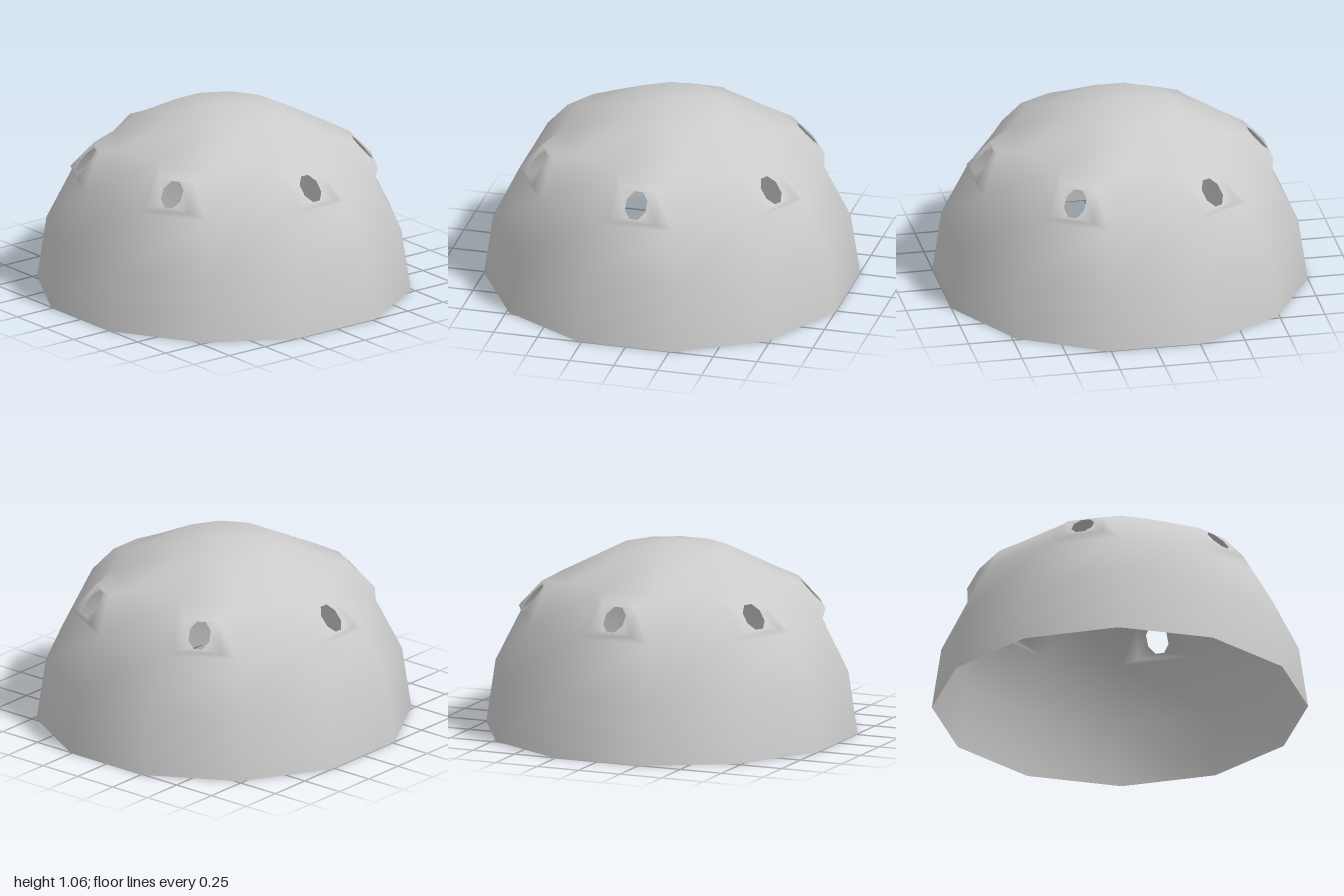
import * as THREE from 'three';

export function createModel() {
  const SIDES = 12;
  const STEP = (Math.PI * 2) / SIDES;
  const positions = [];
  const index = [];

  // Adds a point in a panel's own frame: t sideways, y up, r outwards
  const point = (angle, t, y, r) => {
    const s = Math.sin(angle), c = Math.cos(angle);
    positions.push(r * s + t * c, y, r * c - t * s);
    return positions.length / 3 - 1;
  };
  // Corners run counter-clockwise as seen from outside
  const quad = (a, b, c, d) => index.push(a, b, c, a, c, d);

  // Twelve-sided rings: [distance to the flat, height]
  const profile = [[1, 0], [0.95, 0.35], [0.81, 0.64], [0.59, 0.865], [0.31, 1.01]];
  const rings = profile.map(([flat, y]) =>
    Array.from({ length: SIDES }, (_, i) =>
      point((i - 0.5) * STEP, 0, y, flat / Math.cos(STEP / 2))));
  const apex = point(0, 0, 1.06, 0);

  // Raised window panel: sloping frame around an eight-sided opening
  const windowPanel = (angle, outer) => {
    const frame = [[-0.13, 0.68, 0.835], [0.13, 0.68, 0.835], [0.1, 0.82, 0.71], [-0.1, 0.82, 0.71]]
      .map(([t, y, r]) => point(angle, t, y, r));
    const hole = Array.from({ length: 8 }, (_, k) => {
      const a = -Math.PI * 0.75 + (k - 0.5) * Math.PI / 4;
      const v = 0.065 * Math.sin(a);
      return point(angle, 0.063 * Math.cos(a), 0.754 + v, 0.769 - v * 0.893);
    });
    for (let i = 0; i < 4; i++) {
      const j = (i + 1) % 4;
      quad(outer[i], outer[j], frame[j], frame[i]);
      index.push(frame[i], hole[2 * i + 1], hole[2 * i]);
      quad(frame[i], frame[j], hole[2 * j], hole[2 * i + 1]);
    }
  };

  // Wall bands, with a window in every second panel of the third band
  for (let band = 0; band < rings.length - 1; band++) {
    for (let i = 0; i < SIDES; i++) {
      const j = (i + 1) % SIDES;
      const corners = [rings[band][i], rings[band][j], rings[band + 1][j], rings[band + 1][i]];
      if (band === 2 && i % 2 === 0) windowPanel(i * STEP, corners);
      else quad(...corners);
    }
  }

  // Shallow cap
  const top = rings[rings.length - 1];
  for (let i = 0; i < SIDES; i++) index.push(top[i], top[(i + 1) % SIDES], apex);

  const geometry = new THREE.BufferGeometry();
  geometry.setAttribute('position', new THREE.Float32BufferAttribute(positions, 3));
  geometry.setIndex(index);
  geometry.computeVertexNormals();

  const dome = new THREE.Mesh(geometry,
    new THREE.MeshStandardMaterial({ color: 0xcccccc, side: THREE.DoubleSide }));
  dome.name = 'domeShell';

  const group = new THREE.Group();
  group.name = 'dome';
  group.add(dome);
  return group;
}
